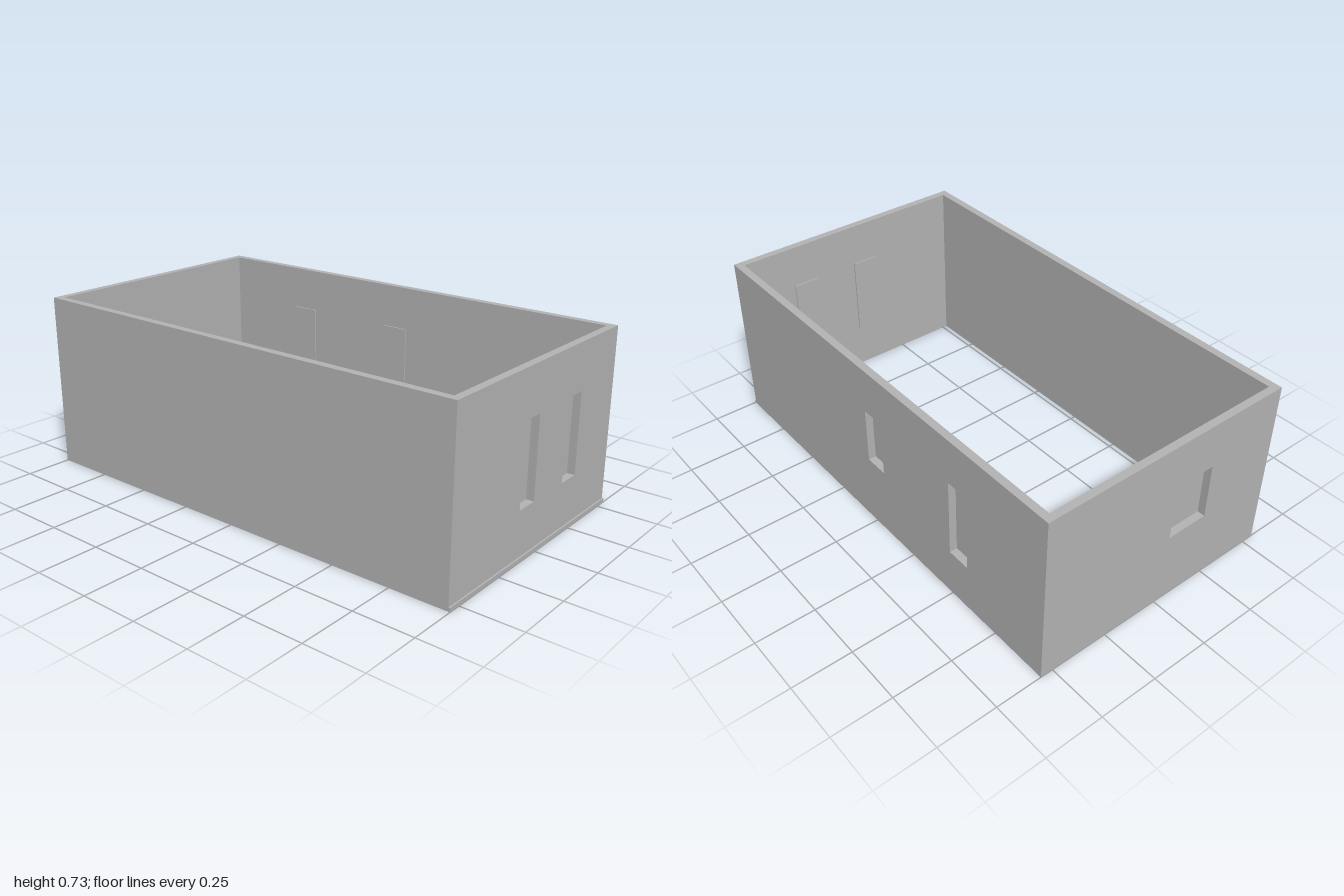
import * as THREE from 'three';

const HEIGHT = 0.732, HALF_X = 0.553, FRONT = 0.993, BACK = -1;
const T = 0.032;      // wall thickness
const PANE = 0.006;   // pane thickness
const LIP = 0.009;    // pane overlap around its opening

export function createModel() {
  const model = new THREE.Group();
  model.name = 'walledEnclosure';
  const grey = new THREE.MeshStandardMaterial({ color: 0xb2b2b2 });
  grey.name = 'concreteGrey';

  const rect = (Type, u0, u1, y0, y1) => new Type([
    new THREE.Vector2(u0, y0), new THREE.Vector2(u1, y0),
    new THREE.Vector2(u1, y1), new THREE.Vector2(u0, y1),
  ]);

  // A wall in its own frame: u runs along it, the outer face is at local z = 0.
  // Each opening [u0, u1, y0, y1] is closed by a thin pane on the inner face.
  function addWall(name, length, x, z, turn, openings = []) {
    const group = new THREE.Group();
    group.name = name;
    const shape = rect(THREE.Shape, -length / 2, length / 2, 0, HEIGHT);
    openings.forEach((o) => shape.holes.push(rect(THREE.Path, ...o)));
    const geometry = new THREE.ExtrudeGeometry(shape, { depth: T, bevelEnabled: false });
    geometry.translate(0, 0, -T);
    const wall = new THREE.Mesh(geometry, grey);
    wall.name = name + 'Panel';
    group.add(wall);

    openings.forEach(([u0, u1, y0, y1], i) => {
      const pane = new THREE.Mesh(
        new THREE.BoxGeometry(u1 - u0 + 2 * LIP, y1 - y0 + 2 * LIP, PANE), grey);
      pane.name = `${name}WindowPane${i + 1}`;
      pane.position.set((u0 + u1) / 2, (y0 + y1) / 2, -T - PANE / 2);
      group.add(pane);
    });

    group.position.set(x, 0, z);
    group.rotation.y = turn;
    model.add(group);
  }

  // End walls span the full width
  addWall('frontWall', 2 * HALF_X, 0, FRONT, 0,
    [[-0.118, -0.018, 0.203, 0.538], [0.19, 0.29, 0.203, 0.538]]);
  addWall('backWall', 2 * HALF_X, 0, BACK, Math.PI,
    [[0.042, 0.224, 0.302, 0.538]]);

  // Long walls fit between them
  const sideLength = FRONT - BACK - 2 * T, mid = (FRONT + BACK) / 2;
  addWall('windowedSideWall', sideLength, HALF_X, mid, Math.PI / 2,
    [[mid - 0.027, mid + 0.075, 0.302, 0.54], [mid + 0.488, mid + 0.59, 0.204, 0.54]]);
  addWall('plainSideWall', sideLength, -HALF_X, mid, -Math.PI / 2);

  // Narrow ledge along the foot of the front wall
  const ledge = new THREE.Mesh(new THREE.BoxGeometry(2 * HALF_X, 0.016, 1 - FRONT), grey);
  ledge.name = 'frontLedge';
  ledge.position.set(0, 0.008, (1 + FRONT) / 2);
  model.add(ledge);

  return model;
}
